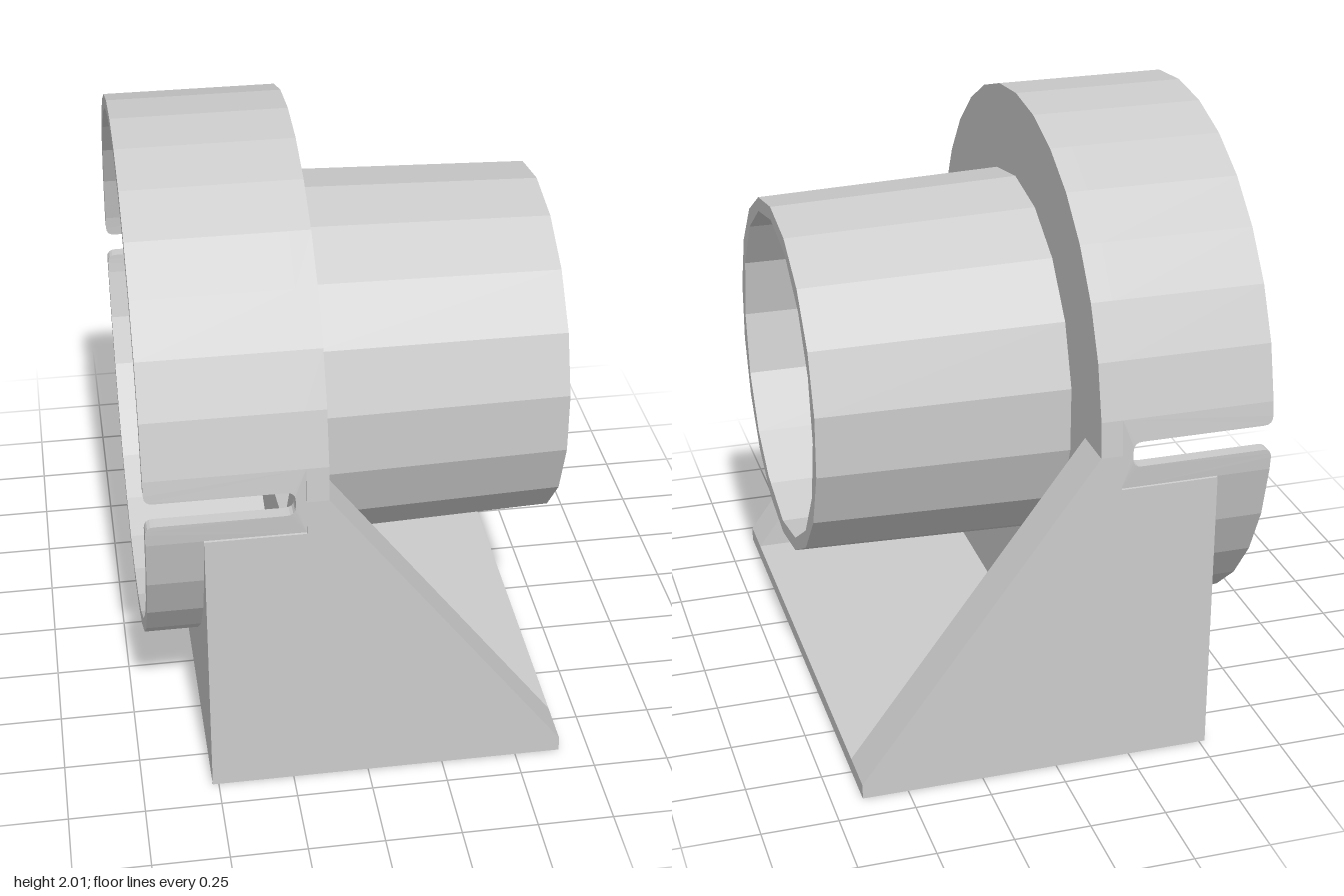
import * as THREE from 'three';

const CY = 1.1;          // height of the bore axis (runs along x)
const R = 0.905;         // housing outer radius
const CUP = 0.86;        // cup inner radius
const GAP = 7.5;         // half angle of the side strips that carry the slots
const EDGE = R * Math.sin(THREE.MathUtils.degToRad(GAP));

// points on an arc around the bore axis, in (z, y)
function arc(r, from, to, n) {
  return Array.from({ length: n + 1 }, (_, i) => {
    const a = THREE.MathUtils.degToRad(from + ((to - from) * i) / n);
    return new THREE.Vector2(r * Math.cos(a), CY + r * Math.sin(a));
  });
}
const v = (x, y) => new THREE.Vector2(x, y);
const polygon = (r, n) => arc(r, 90, 450, n).slice(0, n);
const band = (from, to) => [...arc(R, from, to, 14), ...arc(CUP, to, from, 14)];

export function createModel() {
  const model = new THREE.Group();
  const material = new THREE.MeshStandardMaterial({ color: 0xcccccc, flatShading: true });

  function add(name, geometry) {
    const mesh = new THREE.Mesh(geometry, material);
    mesh.name = name;
    model.add(mesh);
    return mesh;
  }
  // extrude a (z, y) outline along x
  function slab(points, x0, x1, hole) {
    const shape = new THREE.Shape(points);
    if (hole) shape.holes.push(new THREE.Path(hole));
    const g = new THREE.ExtrudeGeometry(shape, { depth: x1 - x0, bevelEnabled: false });
    return g.rotateY(Math.PI / 2).translate(x0, 0, 0);
  }

  // cup wall: upper arch, exposed lower skirt and the block around it
  add('upperCupWall', slab(band(GAP, 180 - GAP), -0.7, -0.2));
  add('lowerCupSkirt', slab(band(180 + GAP, 360 - GAP), -0.7, -0.52));
  add('baseBlock', slab([
    v(R, CY - EDGE), v(R, 0), v(-R, 0), v(-R, CY - EDGE),
    ...arc(CUP, 180 + GAP, 360 - GAP, 14),
  ], -0.52, -0.2));

  // arched flange closing the cup, with the bore through it
  add('flange', slab([
    v(R, 0), v(R, CY), ...arc(R, GAP, 180 - GAP, 14), v(-R, CY), v(-R, 0),
  ], -0.2, -0.13, polygon(0.55, 16)));

  // slightly tapered spigot
  const spigot = slab(polygon(0.62, 18), -0.13, 0.7, polygon(0.55, 16));
  const p = spigot.attributes.position;
  for (let i = 0; i < p.count; i++) {
    const y = p.getY(i) - CY, z = p.getZ(i);
    if (p.getX(i) > 0 && Math.hypot(y, z) > 0.58) {
      const k = 0.595 / 0.62;
      p.setXYZ(i, p.getX(i), CY + y * k, z * k);
    }
  }
  spigot.computeVertexNormals();
  add('spigot', spigot);

  // side strips with rounded clamping slots, bent to the cup radius
  const x0 = -0.7, xe = -0.235, lo = 1.055, hi = 1.14, r = 0.03;
  const slot = new THREE.Shape();
  slot.moveTo(-0.2, CY - EDGE);
  slot.lineTo(-0.2, CY + EDGE);
  slot.lineTo(x0, CY + EDGE);
  slot.lineTo(x0, hi + r);
  slot.quadraticCurveTo(x0, hi, x0 + r, hi);
  slot.lineTo(xe - r, hi);
  slot.quadraticCurveTo(xe, hi, xe, hi - r);
  slot.lineTo(xe, lo + r);
  slot.quadraticCurveTo(xe, lo, xe - r, lo);
  slot.lineTo(x0 + r, lo);
  slot.quadraticCurveTo(x0, lo, x0, lo - r);
  slot.lineTo(x0, CY - EDGE);
  for (const side of [1, -1]) {
    const g = new THREE.ExtrudeGeometry(slot, { depth: 1, bevelEnabled: false, curveSegments: 4 });
    const q = g.attributes.position;
    for (let i = 0; i < q.count; i++) {
      const outer = (q.getZ(i) > 0.5) === (side > 0);
      const radius = outer ? R : CUP;
      q.setZ(i, side * Math.sqrt(radius * radius - (q.getY(i) - CY) ** 2));
    }
    g.computeVertexNormals();
    add(side > 0 ? 'frontSlotStrip' : 'backSlotStrip', g);
  }

  // triangular gussets on both sides of the floor plate
  const gusset = new THREE.Shape([v(-0.13, 0), v(0.65, 0), v(0.65, 0.05), v(-0.13, CY)]);
  for (const z of [0.75, -R]) {
    const g = new THREE.ExtrudeGeometry(gusset, { depth: R - 0.75, bevelEnabled: false });
    add(z > 0 ? 'frontGusset' : 'backGusset', g.translate(0, 0, z));
  }
  add('floorPlate', new THREE.BoxGeometry(0.78, 0.05, 1.5)).position.set(0.26, 0.025, 0);

  return model;
}
